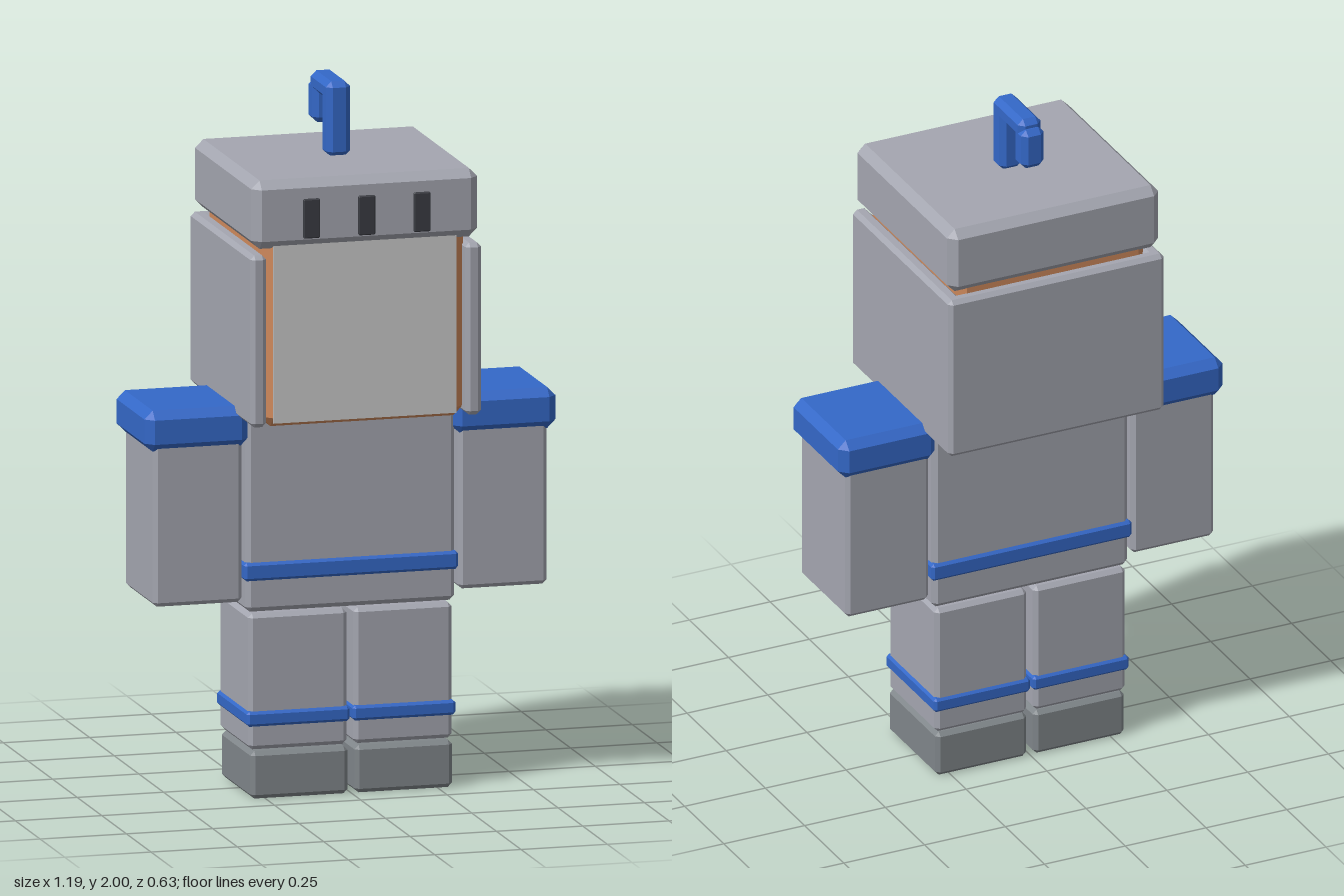
import * as THREE from 'three';
import { ConvexGeometry } from 'three/addons/geometries/ConvexGeometry.js';

const colour = (name, hex) => {
  const m = new THREE.MeshStandardMaterial({ color: hex });
  m.name = name;
  return m;
};

// Box with bevelled edges: three corner points per corner, hulled
function bevelBox(w, h, d, b) {
  const half = [w / 2, h / 2, d / 2];
  const points = [];
  for (const sx of [-1, 1]) for (const sy of [-1, 1]) for (const sz of [-1, 1]) {
    for (let axis = 0; axis < 3; axis++) {
      const c = half.map((v, i) => (i === axis ? v : v - b));
      points.push(new THREE.Vector3(sx * c[0], sy * c[1], sz * c[2]));
    }
  }
  return new ConvexGeometry(points);
}

export function createModel() {
  const steel = colour('steel grey', 0xa4a6b0);
  const boot = colour('boot grey', 0x80868a);
  const blue = colour('trim blue', 0x3468c8);
  const copper = colour('copper', 0xd08a5c);
  const pale = colour('pale grey', 0xc9c9c9);
  const dark = colour('dark slot', 0x3a3c42);

  const model = new THREE.Group();
  model.name = 'blockKnight';

  // Adds a bevelled block spanning the given [min, max] ranges
  function block(parent, name, mat, x, y, z, bevel = 0.012) {
    const mesh = new THREE.Mesh(bevelBox(x[1] - x[0], y[1] - y[0], z[1] - z[0], bevel), mat);
    mesh.position.set((x[0] + x[1]) / 2, (y[0] + y[1]) / 2, (z[0] + z[1]) / 2);
    mesh.name = name;
    parent.add(mesh);
    return mesh;
  }
  function group(name) {
    const g = new THREE.Group();
    g.name = name;
    model.add(g);
    return g;
  }

  // Limbs, mirrored left and right
  for (const [side, s] of [['left', 1], ['right', -1]]) {
    const span = (a, b) => (s > 0 ? [a, b] : [-b, -a]);
    const leg = group(side + 'Leg');
    block(leg, 'boot', boot, span(0.01, 0.292), [0, 0.135], [-0.15, 0.162]);
    block(leg, 'shin', steel, span(0.01, 0.295), [0.138, 0.525], [-0.15, 0.15]);
    block(leg, 'legBand', blue, span(0.004, 0.302), [0.205, 0.248], [-0.157, 0.158], 0.008);

    const arm = group(side + 'Arm');
    block(arm, 'sleeve', steel, span(0.313, 0.57), [0.56, 1.04], [-0.148, 0.148]);
    block(arm, 'shoulderPad', blue, span(0.295, 0.595), [1.003, 1.12], [-0.167, 0.163], 0.024);
  }

  // Torso and belt
  const torso = group('torso');
  block(torso, 'chest', steel, [-0.303, 0.303], [0.53, 1.083], [-0.15, 0.15], 0.014);
  block(torso, 'belt', blue, [-0.31, 0.31], [0.62, 0.672], [-0.158, 0.158], 0.008);

  // Head with a pale plate on its front
  const head = group('head');
  block(head, 'skull', copper, [-0.293, 0.293], [1.083, 1.63], [-0.288, 0.288], 0.028);
  const face = new THREE.Mesh(new THREE.BoxGeometry(0.53, 0.508, 0.005), pale);
  face.position.set(0, 1.35, 0.2885);
  face.name = 'facePlate';
  head.add(face);

  // Helmet: cheek guards, back guard and cap
  const helmet = group('helmet');
  for (const [a, b] of [[0.288, 0.334], [-0.334, -0.288]]) {
    block(helmet, 'cheekGuard', steel, [a, b], [1.09, 1.58], [-0.313, 0.31]);
  }
  block(helmet, 'backGuard', steel, [-0.334, 0.334], [1.09, 1.58], [-0.318, -0.275]);
  block(helmet, 'cap', steel, [-0.327, 0.327], [1.595, 1.79], [-0.31, 0.308], 0.024);

  // Slots on the cap front
  for (const x of [-0.16, 0, 0.16]) {
    block(helmet, 'slot', dark, [x - 0.024, x + 0.024], [1.623, 1.735], [0.295, 0.317], 0.003);
  }

  // Hooked plume on top
  const plume = group('plume');
  block(plume, 'post', blue, [-0.035, 0.035], [1.785, 2], [-0.032, 0.033], 0.016);
  block(plume, 'bar', blue, [-0.035, 0.035], [1.942, 2], [-0.152, 0.033], 0.016);
  block(plume, 'hook', blue, [-0.035, 0.035], [1.855, 1.975], [-0.172, -0.107], 0.016);

  return model;
}
